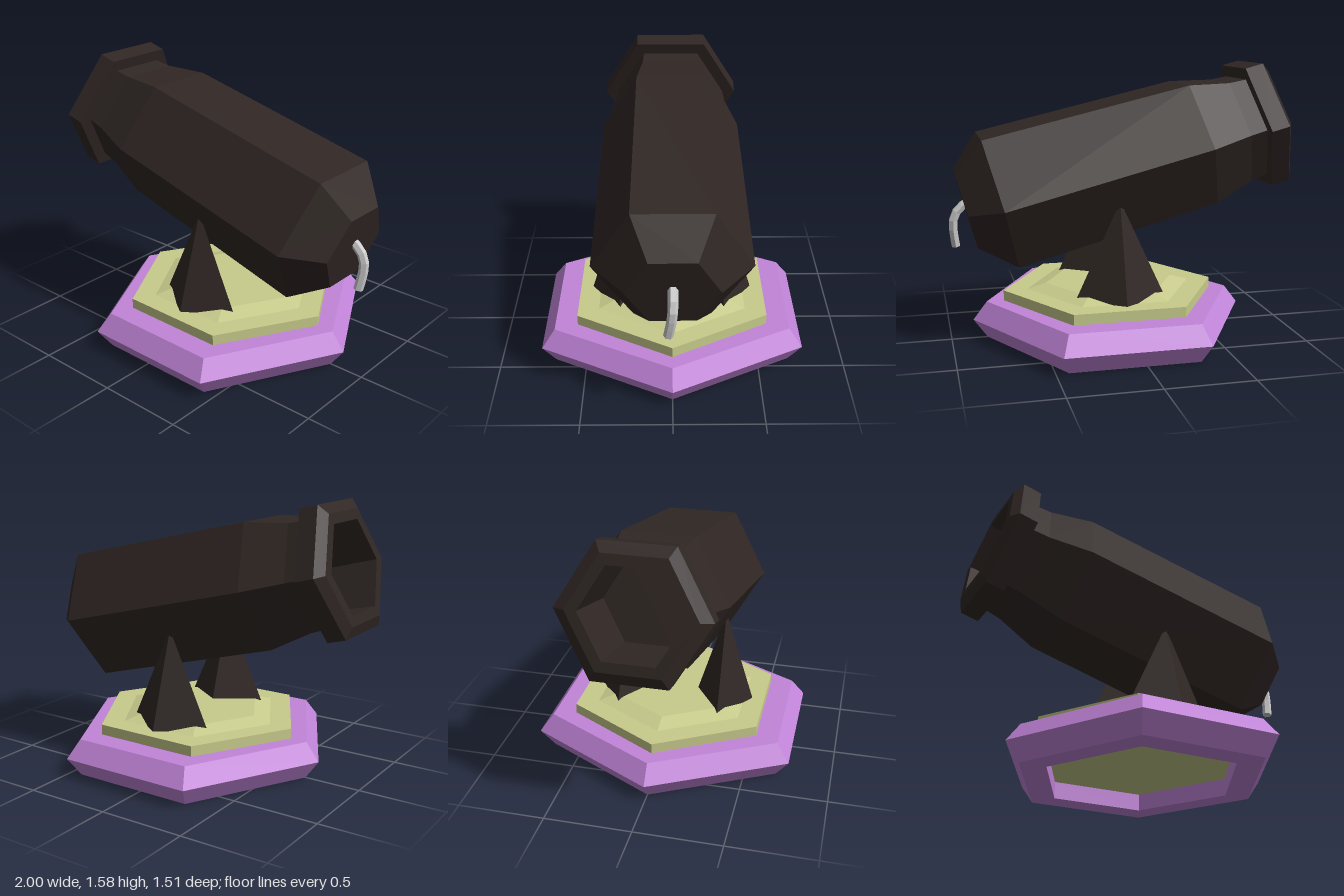
import * as THREE from 'three';

const mat = (color) => new THREE.MeshStandardMaterial({ color, flatShading: true });

// Six-sided solid from a [radius, height] profile, listed from bottom to top
function hexLathe(profile, phiStart = 0) {
  const pts = profile.map(([r, y]) => new THREE.Vector2(r, y));
  return new THREE.LatheGeometry(pts, 6, phiStart);
}

function flat(name, geometry, material) {
  const g = geometry.index ? geometry.toNonIndexed() : geometry;
  g.computeVertexNormals();
  const mesh = new THREE.Mesh(g, material);
  mesh.name = name;
  return mesh;
}

export function createModel() {
  const model = new THREE.Group();
  model.name = 'cannon';
  const iron = mat(0x302724);
  const lilac = mat(0xc184d8);
  const olive = mat(0xc8cc8c);
  const grey = mat(0xcccccc);
  const cx = 0.063;

  // Stand: bevelled ring, recessed underside, stepped top plate
  const stand = new THREE.Group();
  stand.name = 'stand';
  stand.position.x = cx;
  const ring = flat('baseRing', hexLathe([
    [0.57, 0.1], [0.57, 0], [0.73, 0], [0.81, 0.11], [0.73, 0.215], [0.5, 0.215],
  ], Math.PI / 2).scale(1, 1, 1.077), lilac);
  const underside = flat('underside',
    hexLathe([[0, 0.1], [0.57, 0.1]], Math.PI / 2).scale(1, 1, 1.077), olive);
  const plate = flat('topPlate', hexLathe([
    [0.63, 0.2], [0.63, 0.275], [0.49, 0.275], [0.38, 0.305], [0, 0.305],
  ], Math.PI / 2).scale(1, 1, 1.008), olive);
  stand.add(ring, underside, plate);
  model.add(stand);

  // Pair of pyramid supports with diamond bases
  for (const side of [1, -1]) {
    const geo = new THREE.CylinderGeometry(0.01, 0.26, 0.54, 4);
    geo.scale(1, 1, 0.67);
    const support = flat(side > 0 ? 'frontSupport' : 'backSupport', geo, iron);
    support.position.set(cx, 0.543, side * 0.303);
    model.add(support);
  }

  // Barrel: [half height across flats, distance along axis], breech to bore
  const profile = [
    [0, -0.187], [0.217, -0.187], [0.374, 0], [0.354, 1.21], [0.296, 1.455],
    [0.288, 1.557], [0.355, 1.557], [0.355, 1.665], [0.297, 1.7],
    [0.24, 1.7], [0.225, 1.3], [0, 1.3],
  ].map(([h, s]) => [h / Math.cos(Math.PI / 6), s]);
  const barrelGeo = hexLathe(profile);
  const p = barrelGeo.attributes.position;
  for (let i = 0; i < p.count; i++) {
    // Slight droop towards the muzzle
    const t = THREE.MathUtils.clamp(p.getY(i) / 1.2, 0, 1);
    p.setX(i, p.getX(i) - 0.016 * t);
  }
  const barrel = flat('barrel', barrelGeo, iron);
  barrel.rotation.z = THREE.MathUtils.degToRad(75);
  barrel.position.set(0.72, 0.825, 0);
  model.add(barrel);

  // Fuse: short bent cord hanging from the breech
  const path = new THREE.CatmullRomCurve3([
    [0.87, 0.82, 0], [0.925, 0.785, 0], [0.965, 0.73, 0],
    [0.971, 0.66, 0.006], [0.958, 0.553, 0.024],
  ].map((v) => new THREE.Vector3(...v)));
  const fuse = new THREE.Group();
  fuse.name = 'fuse';
  const cord = flat('fuseCord', new THREE.TubeGeometry(path, 6, 0.027, 6), grey);
  const tip = flat('fuseTip', new THREE.CircleGeometry(0.027, 6), grey);
  const end = path.getPoint(1);
  tip.position.copy(end);
  tip.lookAt(end.clone().add(path.getTangent(1)));
  fuse.add(cord, tip);
  model.add(fuse);

  return model;
}
